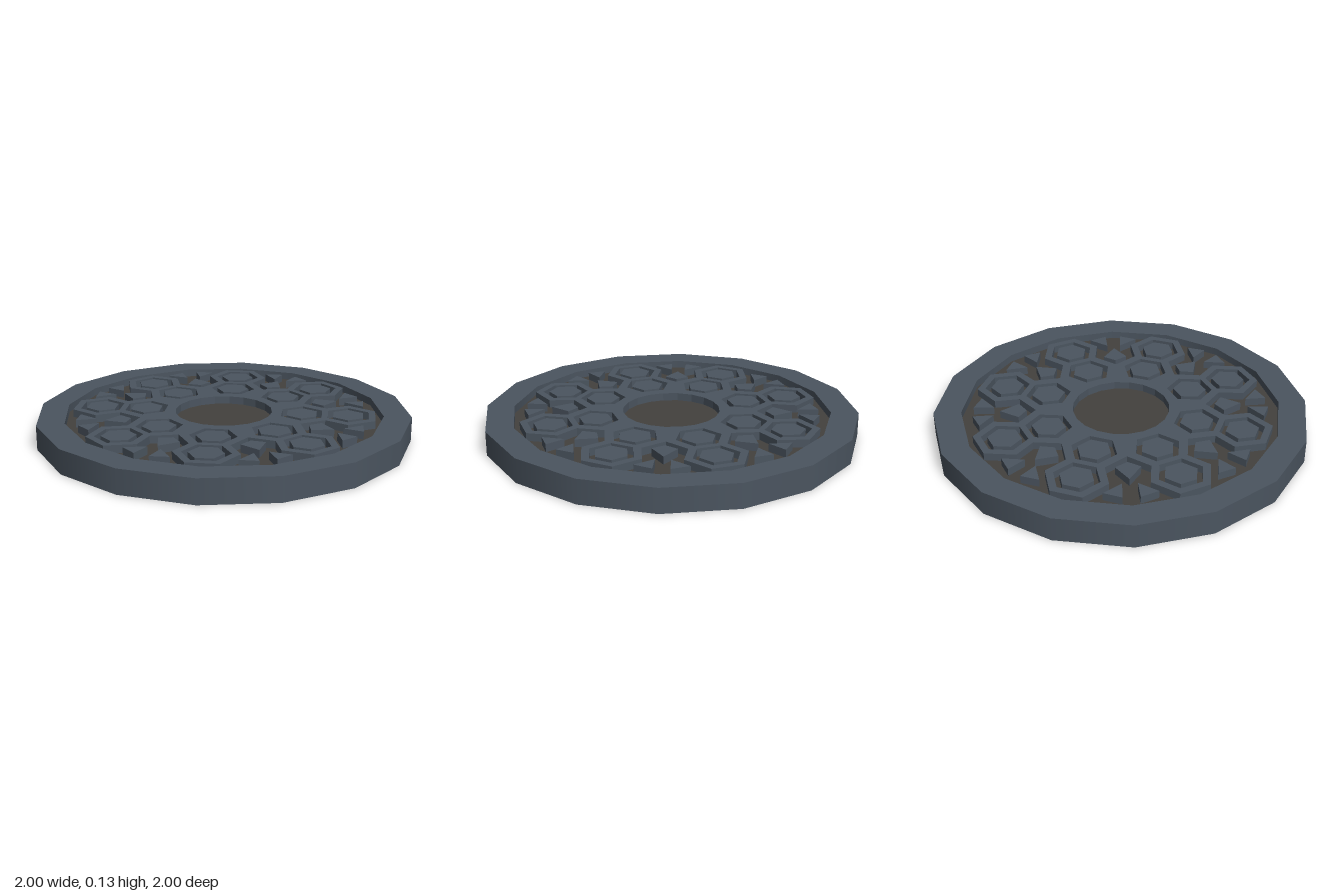
import * as THREE from 'three';

const TOP = 0.13, FLOOR = 0.088, SIDES = 16, SECTORS = 8;
const STEP = (Math.PI * 2) / SECTORS;
const steel = new THREE.MeshStandardMaterial({ color: 0x4b5560 });
const dark = new THREE.MeshStandardMaterial({ color: 0x43413e });

// rotate a [radial, tangential] point about the centre
function turn([u, v], a) {
  const c = Math.cos(a), s = Math.sin(a);
  return new THREE.Vector2(u * c - v * s, u * s + v * c);
}

// hexagon with a flat side facing the centre
function hexagon(centre, radius, angle) {
  const pts = [];
  for (let i = 0; i < 6; i++) {
    const a = Math.PI / 6 + (i * Math.PI) / 3;
    pts.push(turn([centre + radius * Math.cos(a), radius * Math.sin(a)], angle));
  }
  return pts;
}

function polygon(radius, n) {
  return Array.from({ length: n }, (_, i) => turn([radius, 0], (i * Math.PI * 2) / n));
}

export function createModel() {
  const group = new THREE.Group();

  function add(name, geometry, material) {
    const mesh = new THREE.Mesh(geometry, material);
    mesh.name = name;
    group.add(mesh);
    return mesh;
  }

  // raised part standing on the recessed floor
  function raise(name, shape) {
    const g = new THREE.ExtrudeGeometry(shape, { depth: TOP - FLOOR, bevelEnabled: false });
    g.rotateX(-Math.PI / 2).translate(0, FLOOR, 0);
    return add(name, g, steel);
  }

  // outer wall, underside, recessed floor
  add('outerWall', new THREE.CylinderGeometry(1, 1, TOP, SIDES, 1, true).translate(0, TOP / 2, 0), steel);
  add('underside', new THREE.CircleGeometry(1, SIDES).rotateX(Math.PI / 2), steel);
  add('recessedFloor', new THREE.CircleGeometry(0.855, SIDES).rotateX(-Math.PI / 2).translate(0, FLOOR, 0), dark);

  // rim: flat top and inner wall
  add('rimTop', new THREE.RingGeometry(0.853, 1, SIDES).rotateX(-Math.PI / 2).translate(0, TOP, 0), steel);
  const wall = new THREE.CylinderGeometry(0.853, 0.853, TOP - FLOOR, SIDES, 1, true);
  wall.translate(0, (TOP + FLOOR) / 2, 0);
  const wallMaterial = steel.clone();
  wallMaterial.side = THREE.BackSide;
  add('rimInnerWall', wall, wallMaterial);

  // plate outline: eight hexagonal lobes with a notch between each pair
  const outline = [];
  for (let i = 0; i < SECTORS; i++) {
    const a = i * STEP, mid = a + STEP / 2;
    outline.push(
      turn([0.665, -0.167], a), turn([0.808, -0.084], a),
      turn([0.808, 0.084], a), turn([0.665, 0.167], a),
      turn([0.545, -0.115], mid), turn([0.457, 0], mid), turn([0.545, 0.115], mid)
    );
  }
  const plate = new THREE.Shape(outline);
  plate.holes.push(new THREE.Path(polygon(0.26, 20).reverse()));

  for (let i = 0; i < SECTORS; i++) {
    const a = i * STEP, mid = a + STEP / 2;

    // two hexagonal pockets per sector, each holding a smaller hexagon
    for (const [name, r] of [['innerHexagon', 0.42], ['outerHexagon', 0.665]]) {
      plate.holes.push(new THREE.Path(hexagon(r, 0.123, a).reverse()));
      raise(name, new THREE.Shape(hexagon(r, 0.09, a)));
    }

    // kite block between the lobes
    const kite = [[0.505, 0], [0.547, -0.065], [0.647, 0], [0.547, 0.065]];
    raise('kiteBlock', new THREE.Shape(kite.map((p) => turn(p, mid))));

    // mirrored pair of triangular blocks by the rim
    for (const side of [-1, 1]) {
      const tri = [[0.68, 0.038 * side], [0.79, 0.043 * side], [0.75, 0.135 * side]];
      raise('triangleBlock', new THREE.Shape(tri.map((p) => turn(p, mid))));
    }
  }
  raise('plate', plate);

  return group;
}
